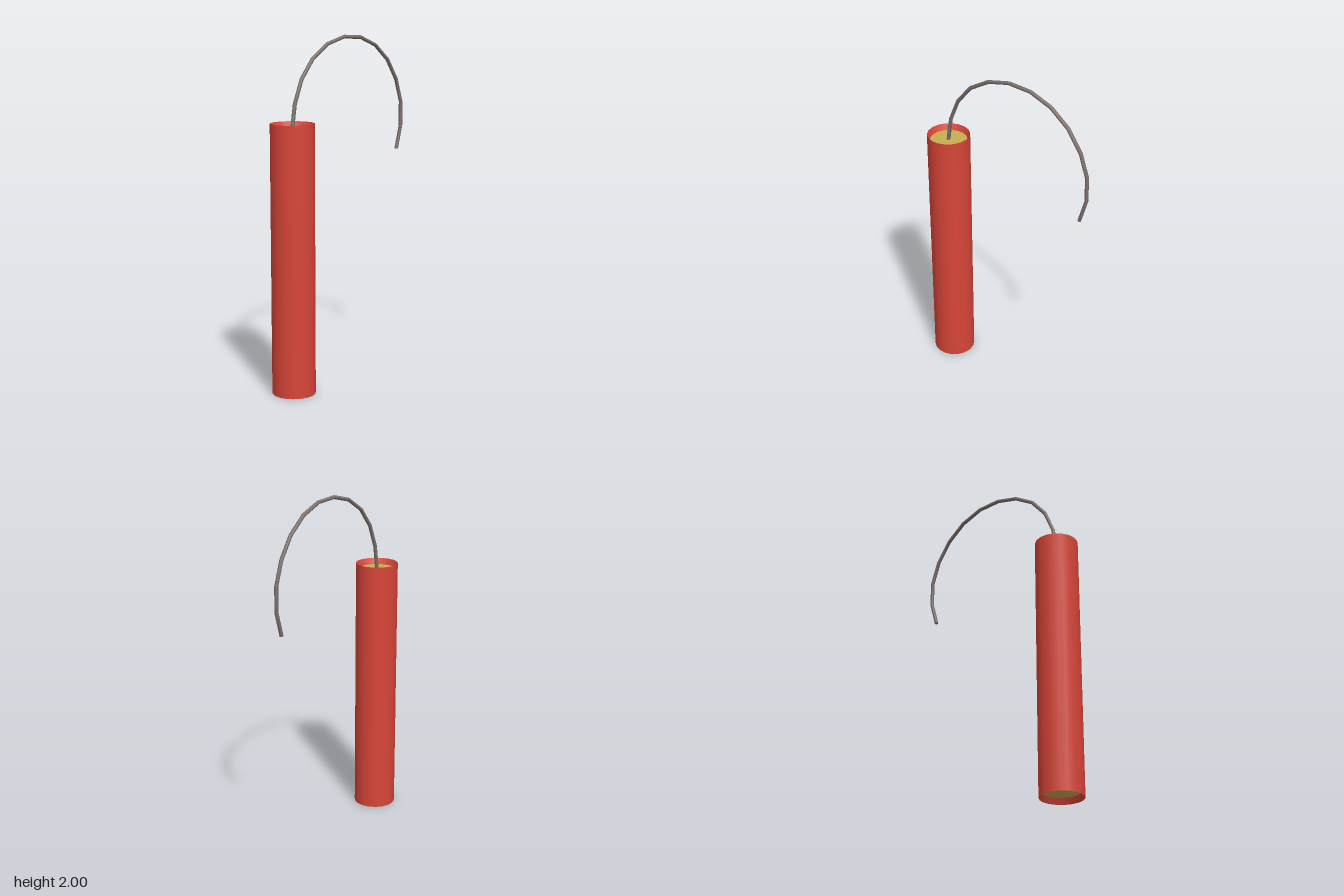
import * as THREE from 'three';

const SIDES = 18, RADIUS = 0.124, INNER = 0.108, HEIGHT = 1.53, RECESS = 0.035;
const STICK_X = -0.426;

export function createModel() {
  const model = new THREE.Group();
  model.name = 'firecracker';

  const red = new THREE.MeshStandardMaterial({ name: 'red paper', color: 0xd84538 });
  const tan = new THREE.MeshStandardMaterial({ name: 'tan filling', color: 0xc8ae50 });
  const grey = new THREE.MeshStandardMaterial({ name: 'grey cord', color: 0x7d716c });

  const add = (parent, name, geometry, material) => {
    const mesh = new THREE.Mesh(geometry, material);
    mesh.name = name;
    parent.add(mesh);
    return mesh;
  };

  // Stick, turned so that a corner of its polygon points along x
  const stick = new THREE.Group();
  stick.name = 'stick';
  stick.position.x = STICK_X;
  stick.rotation.y = Math.PI / 2;
  model.add(stick);

  // Paper wall
  const wall = new THREE.CylinderGeometry(RADIUS, RADIUS, HEIGHT, SIDES, 1, true);
  add(stick, 'wall', wall, red).position.y = HEIGHT / 2;

  // Both ends: sloping inner lip and recessed filling
  for (const top of [true, false]) {
    const label = top ? 'top' : 'bottom';
    const end = new THREE.Group();
    end.name = label + 'End';
    end.position.y = top ? HEIGHT : 0;
    if (!top) end.rotation.x = Math.PI;
    stick.add(end);

    const lip = new THREE.LatheGeometry(
      [new THREE.Vector2(RADIUS, 0), new THREE.Vector2(INNER, -RECESS)], SIDES);
    add(end, label + 'Lip', lip, red);

    const filling = new THREE.CircleGeometry(INNER, SIDES);
    filling.rotateX(-Math.PI / 2);
    filling.rotateY(Math.PI / 2);
    add(end, label + 'Filling', filling, tan).position.y = -RECESS;
  }
  red.side = THREE.DoubleSide;

  // Fuse: a cord bent over in a coarse arc
  const path = new THREE.CatmullRomCurve3([
    [-0.428, 1.49], [-0.4, 1.65], [-0.34, 1.78], [-0.245, 1.885], [-0.12, 1.957],
    [0.02, 1.989], [0.16, 1.981], [0.295, 1.93], [0.405, 1.843], [0.49, 1.72],
    [0.535, 1.585], [0.535, 1.44], [0.495, 1.305],
  ].map(([x, y]) => new THREE.Vector3(x, y, 0)));
  add(model, 'fuse', new THREE.TubeGeometry(path, 12, 0.011, 8), grey);

  // Cut end of the fuse
  const tip = add(model, 'fuseTip', new THREE.CircleGeometry(0.011, 8), grey);
  tip.position.copy(path.getPoint(1));
  tip.quaternion.setFromUnitVectors(new THREE.Vector3(0, 0, 1), path.getTangent(1));

  return model;
}
